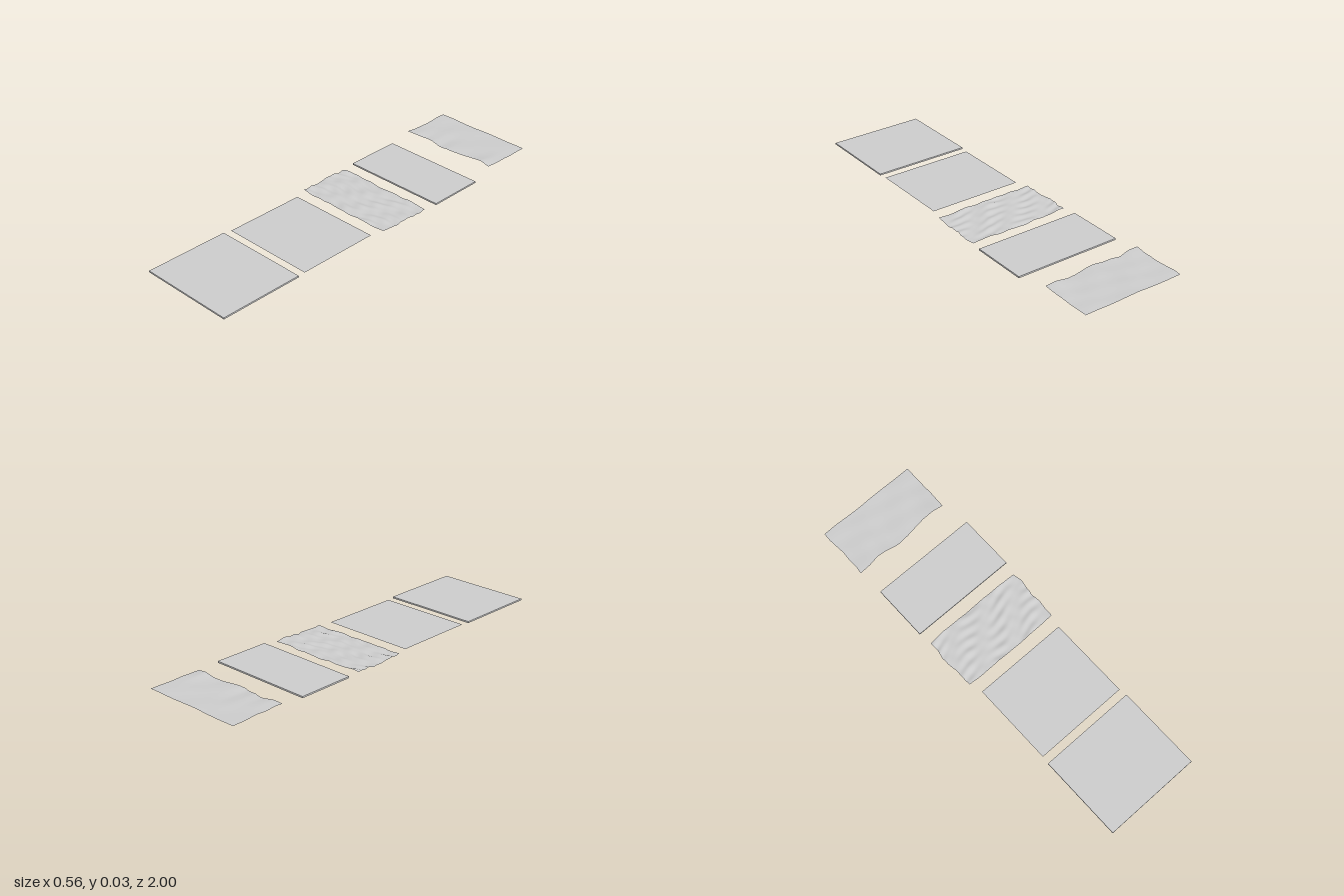
import * as THREE from 'three';

const material = new THREE.MeshStandardMaterial({ color: 0xcccccc });
const sheetMaterial = new THREE.MeshStandardMaterial({ color: 0xcccccc, side: THREE.DoubleSide });

// Evenly spaced samples, read with linear interpolation
function sample(values, t) {
  const f = t * (values.length - 1);
  const i = Math.min(Math.floor(f), values.length - 2);
  return THREE.MathUtils.lerp(values[i], values[i + 1], f - i);
}

// Flat rigid panel
function panel(name, x0, x1, z0, z1, y0, y1) {
  const mesh = new THREE.Mesh(new THREE.BoxGeometry(x1 - x0, y1 - y0, z1 - z0), material);
  mesh.position.set((x0 + x1) / 2, (y0 + y1) / 2, (z0 + z1) / 2);
  mesh.name = name;
  return mesh;
}

// Thin sheet with irregular edges; height(u, v) gives y, u along x, v along z
function sheet(name, edges, height, nx, nz) {
  const geometry = new THREE.PlaneGeometry(1, 1, nx, nz).rotateX(-Math.PI / 2);
  const p = geometry.attributes.position;
  for (let i = 0; i < p.count; i++) {
    const u = THREE.MathUtils.clamp(p.getX(i) + 0.5, 0, 1);
    const v = THREE.MathUtils.clamp(p.getZ(i) + 0.5, 0, 1);
    const x = THREE.MathUtils.lerp(sample(edges.left, v), sample(edges.right, v), u);
    const z = THREE.MathUtils.lerp(sample(edges.back, u), sample(edges.front, u), v);
    p.setXYZ(i, x, height(u, v), z);
  }
  geometry.computeVertexNormals();
  const mesh = new THREE.Mesh(geometry, sheetMaterial);
  mesh.name = name;
  return mesh;
}

export function createModel() {
  const group = new THREE.Group();
  group.name = 'rowOfSheets';

  // Rigid panels
  group.add(panel('frontPanel', -0.245, 0.25, 0.57, 1.0, 0.009, 0.017));
  group.add(panel('rearPanel', -0.27, 0.28, -0.59, -0.3, 0.009, 0.017));

  // Flat sheet without thickness
  const flat = { left: [-0.24, -0.24], right: [0.245, 0.245], back: [0.11, 0.11], front: [0.53, 0.53] };
  group.add(sheet('flatSheet', flat, () => 0.012, 1, 1));

  // Crumpled sheet with folds running mostly across it
  const crumpled = {
    left: [-0.262, -0.26, -0.27, -0.268, -0.26, -0.262, -0.26],
    right: [0.265, 0.275, 0.268, 0.262, 0.268, 0.262, 0.26],
    back: [-0.23, -0.238, -0.236, -0.237, -0.238, -0.236, -0.234],
    front: [0.046, 0.05, 0.048, 0.05, 0.05, 0.047, 0.045],
  };
  group.add(sheet('crumpledSheet', crumpled, (u, v) => {
    const folds = Math.sin(v * 33 + 1.8 * Math.sin(u * 9)) * (0.5 + 0.5 * Math.sin(u * 17 + v * 8));
    const ripple = Math.sin(u * 24 + v * 9) + 0.6 * Math.sin(u * 41 - v * 13);
    return Math.max(0.001, 0.0095 + 0.003 * (1 - u) + 0.0032 * folds + 0.0014 * ripple);
  }, 60, 44));

  // Gently wavy sheet, lifted toward its front edge
  const wavy = {
    left: [-0.28, -0.282, -0.278, -0.274, -0.278, -0.276, -0.282],
    right: [0.25, 0.25, 0.25, 0.249, 0.25, 0.248, 0.246],
    back: [-0.998, -1, -0.998, -0.996, -0.999, -1, -0.999, -1],
    front: [-0.72, -0.722, -0.735, -0.727, -0.716, -0.72, -0.73, -0.738, -0.736, -0.73],
  };
  const frontHeights = [0.032, 0.033, 0.028, 0.032, 0.025, 0.03, 0.029, 0.028, 0.03, 0.036, 0.028];
  group.add(sheet('wavySheet', wavy, (u, v) => {
    const ripple = 0.0008 * Math.sin(u * 15 + v * 7) + 0.0006 * Math.sin(v * 16 - u * 8);
    return THREE.MathUtils.lerp(0.0265, sample(frontHeights, u), v * v) + ripple;
  }, 40, 24));

  return group;
}
